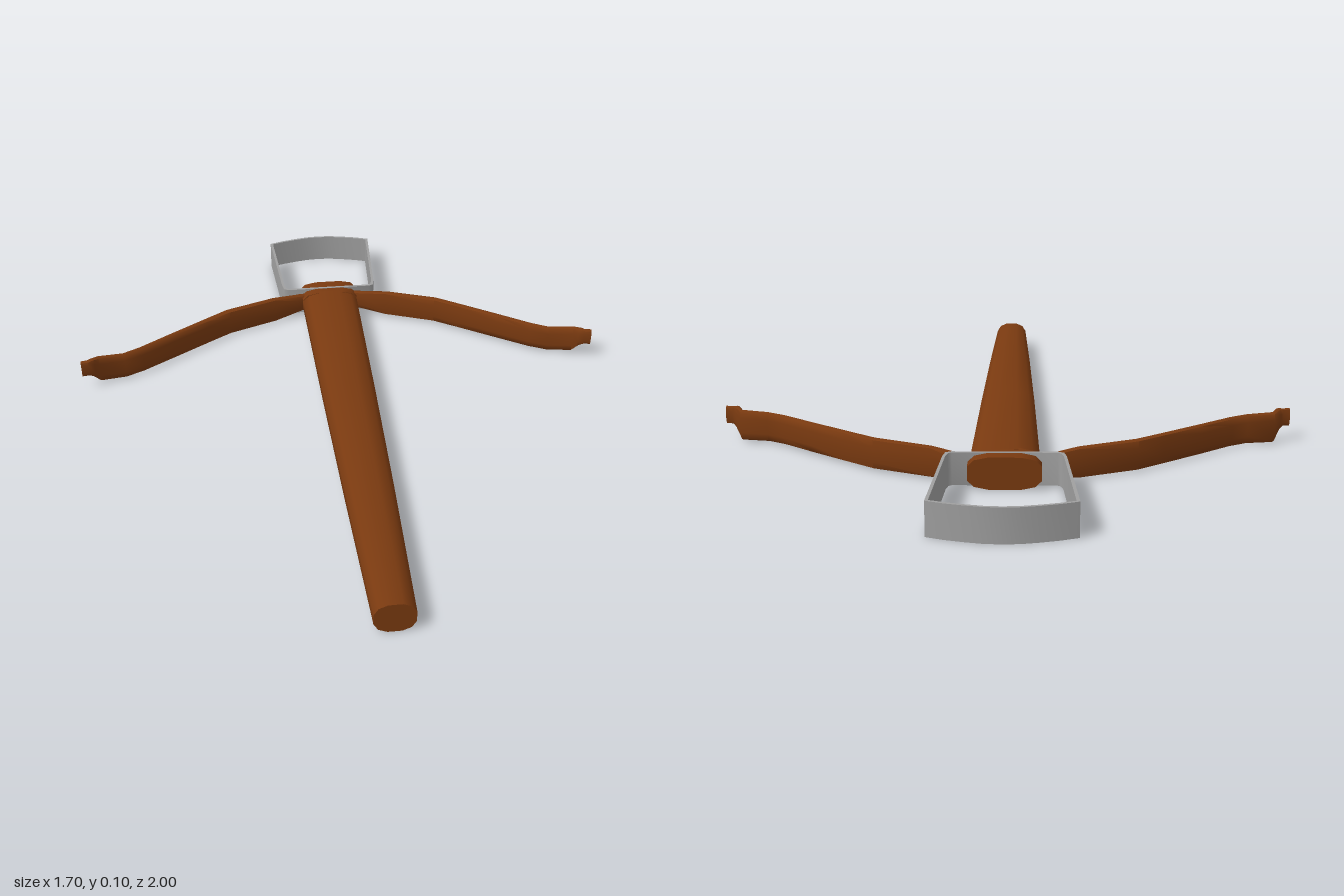
import * as THREE from 'three';
import { toCreasedNormals } from 'three/addons/utils/BufferGeometryUtils.js';

const wood = new THREE.MeshStandardMaterial({ color: 0x7a3a10 });
wood.name = 'brown wood';
const steel = new THREE.MeshStandardMaterial({ color: 0xa0a0a0 });
steel.name = 'grey steel';

// Lofts rounded sections along a level path; station = [x, z, halfWidth, yBottom, yTop].
// A lower power gives a boxier section.
function loft(stations, sides, power) {
  const pos = [], index = [];
  const round = (v) => Math.sign(v) * Math.pow(Math.abs(v), power);
  stations.forEach(([x, z, w, y0, y1], i) => {
    const a = stations[Math.max(i - 1, 0)];
    const b = stations[Math.min(i + 1, stations.length - 1)];
    const len = Math.hypot(b[0] - a[0], b[1] - a[1]);
    const nx = (b[1] - a[1]) / len, nz = -(b[0] - a[0]) / len;
    for (let k = 0; k < sides; k++) {
      const t = ((k + 0.5) / sides) * Math.PI * 2;
      const lim = Math.cos(Math.PI / sides);
      const c = round(Math.max(-1, Math.min(1, Math.cos(t) / lim))) * w;
      const s = round(Math.max(-1, Math.min(1, Math.sin(t) / lim)));
      pos.push(x + nx * c, (y0 + y1) / 2 + s * (y1 - y0) / 2, z + nz * c);
    }
  });
  for (let i = 0; i < stations.length - 1; i++) {
    for (let k = 0; k < sides; k++) {
      const a = i * sides + k, b = i * sides + (k + 1) % sides;
      index.push(a, b, b + sides, a, b + sides, a + sides);
    }
  }
  // End caps
  const last = (stations.length - 1) * sides;
  for (let k = 1; k < sides - 1; k++) {
    index.push(0, k + 1, k, last, last + k, last + k + 1);
  }
  const geo = new THREE.BufferGeometry();
  geo.setAttribute('position', new THREE.Float32BufferAttribute(pos, 3));
  geo.setIndex(index);
  return toCreasedNormals(geo, 0.95);
}

function addMesh(group, name, geo, mat) {
  const mesh = new THREE.Mesh(geo, mat);
  mesh.name = name;
  group.add(mesh);
}

export function createModel() {
  const model = new THREE.Group();
  model.name = 'crossbow';

  // Long tapering stock, with a boxier block at the bow end
  addMesh(model, 'stock', loft([
    [0, 1, 0.055, 0, 0.092],
    [0, 0.5, 0.071, 0, 0.094],
    [0, 0, 0.084, 0, 0.094],
    [0, -0.57, 0.096, 0, 0.094],
  ], 12, 0.8), wood);
  addMesh(model, 'stockHead', loft([
    [0, -0.56, 0.096, 0.002, 0.093],
    [0, -0.6, 0.1, 0.002, 0.093],
    [0, -0.64, 0.1, 0.002, 0.093],
  ], 12, 0.62), wood);

  // Recurved limbs with a raised hook at each tip
  const limb = [
    [0.06, -0.6, 0.013, 0.022, 0.074],
    [0.12, -0.574, 0.013, 0.014, 0.082],
    [0.2, -0.543, 0.014, 0.002, 0.093],
    [0.365, -0.477, 0.015, 0.002, 0.094],
    [0.44, -0.425, 0.014, 0.002, 0.094],
    [0.56, -0.34, 0.013, 0.002, 0.094],
    [0.66, -0.268, 0.012, 0.003, 0.094],
    [0.715, -0.238, 0.011, 0.003, 0.094],
    [0.797, -0.225, 0.011, 0.003, 0.097],
    [0.815, -0.203, 0.011, 0.035, 0.103],
    [0.828, -0.197, 0.01, 0.045, 0.1],
    [0.85, -0.193, 0.009, 0.045, 0.1],
  ];
  for (const [side, name] of [[1, 'leftLimb'], [-1, 'rightLimb']]) {
    addMesh(model, name, loft(limb.map(([x, ...rest]) => [x * side, ...rest]), 10, 0.65), wood);
  }

  // Flat steel stirrup: a closed band with a bowed front, drawn as half outlines in x and -z
  const outer = [[0.145, 0.592], [0.16, 0.6], [0.166, 0.63], [0.187, 0.958],
    [0.14, 0.975], [0.09, 0.988], [0.045, 0.997]];
  const inner = [[0.143, 0.601], [0.152, 0.607], [0.158, 0.631], [0.178, 0.953],
    [0.138, 0.967], [0.088, 0.98], [0.044, 0.989]];
  const ring = (half, tip) => [...half, [0, tip], ...half.map(([x, y]) => [-x, y]).reverse()]
    .map(([x, y]) => new THREE.Vector2(x, y));
  const shape = new THREE.Shape(ring(outer, 1));
  shape.holes.push(new THREE.Path(ring(inner, 0.992)));
  const band = new THREE.ExtrudeGeometry(shape, { depth: 0.094, bevelEnabled: false });
  band.rotateX(-Math.PI / 2);
  addMesh(model, 'stirrup', toCreasedNormals(band, 0.6), steel);

  return model;
}
